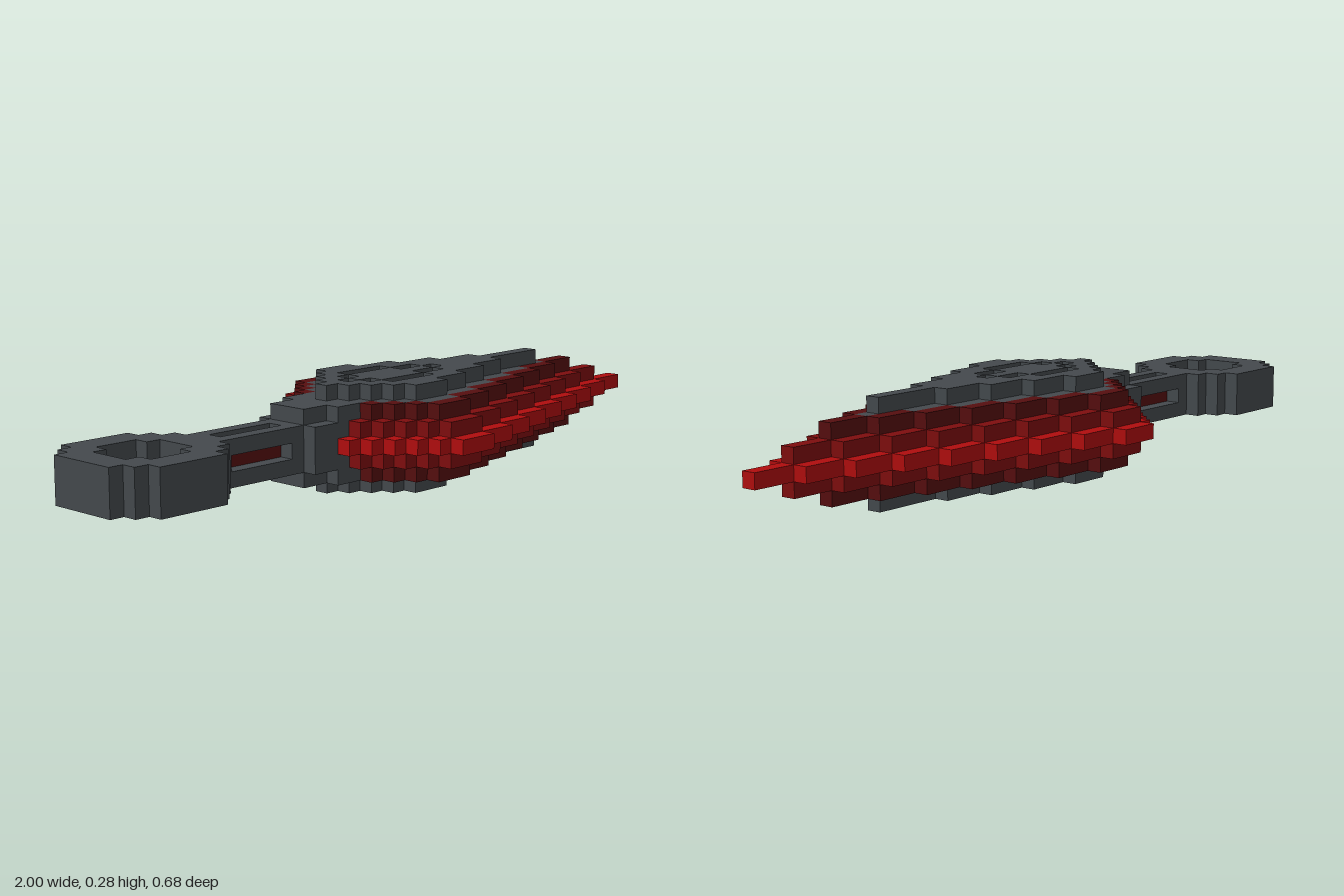
import * as THREE from 'three';
import { mergeGeometries } from 'three/addons/utils/BufferGeometryUtils.js';

const U = 0.04; // block size
const mat = (name, color) => {
  const m = new THREE.MeshStandardMaterial({ color });
  m.name = name;
  return m;
};

// Cuts the gaps out of the span [a, b] and returns the remaining spans
function cut(a, b, gaps = []) {
  const out = [];
  for (const [g0, g1] of gaps) {
    out.push([a, g0]);
    a = g1;
  }
  out.push([a, b]);
  return out.filter(([p, q]) => q - p > 0.001);
}

// One merged mesh from block rows: rows[k] lists x spans at distance k from the centre line
function slab(name, material, y0, y1, rows) {
  const parts = [];
  rows.forEach((spans, k) => {
    for (const side of k ? [1, -1] : [1]) {
      for (const [a, b] of spans) {
        const g = new THREE.BoxGeometry(b - a, y1 - y0, U);
        g.translate((a + b) / 2, (y0 + y1) / 2, side * k * U);
        parts.push(g);
      }
    }
  });
  const mesh = new THREE.Mesh(mergeGeometries(parts), material);
  mesh.name = name;
  return mesh;
}

// Stepped blade outline: x span of every row for a half width of n blocks
function bladeSpans(n, left) {
  return Array.from({ length: n + 1 }, (_, k) => [
    Math.max(left, -0.08 - 0.04 * (n - k)),
    0.04 + 0.12 * (n - k),
  ]);
}

export function createModel() {
  const root = new THREE.Group();
  const grey = mat('dark grey', 0x44494d);
  const red = mat('bright red', 0xb00d0e);
  const midRed = mat('medium red', 0x7e0d0e);
  const darkRed = mat('dark red', 0x550e0f);
  const add = (...args) => root.add(slab(...args));

  // Sharp edge and the two bevel steps of the blade
  add('bladeEdge', red, 0.12, 0.16, bladeSpans(8, -0.28).map((s) => [s]));
  add('bladeMiddleBevel', midRed, 0.08, 0.20, bladeSpans(7, -0.24).map((s) => [s]));
  const core = bladeSpans(5, -0.20);
  add('bladeInnerBevel', darkRed, 0.04, 0.24,
    bladeSpans(6, -0.20).map(([a, b], k) => cut(a, b, core[k] ? [core[k]] : [])));

  // Blade core and raised plates, with a sunken diamond emblem
  const emblem = [
    [[-0.16, -0.12], [0.16, 0.20]],
    [[-0.12, -0.08], [0.08, 0.16]],
    [[-0.08, 0.08]],
  ];
  add('bladeCore', grey, 0.04, 0.24, core.map(([a, b], k) => cut(a, b, emblem[k])));
  add('emblem', darkRed, 0.04, 0.24, emblem);
  const plate = bladeSpans(4, -0.24);
  plate[0][1] = 0.60;
  const plateRows = plate.map(([a, b], k) => cut(a, b, emblem[k]));
  add('upperPlate', grey, 0.24, 0.28, plateRows);
  add('lowerPlate', grey, 0, 0.04, plateRows);

  // Guard between blade and handle
  const same = (count, a, b) => Array.from({ length: count }, () => [[a, b]]);
  add('guardBack', grey, 0.04, 0.24, same(3, -0.28, -0.20));
  add('guardRidge', grey, 0.04, 0.24, same(2, -0.36, -0.28));
  add('guardSides', grey, 0.08, 0.20, [[], [], [[-0.36, -0.28]]]);

  // Handle: solid ends, four corner rails and a coloured core
  add('handleRearEnd', grey, 0.08, 0.20, same(2, -0.64, -0.60));
  add('handleFrontEnd', grey, 0.08, 0.20, same(2, -0.40, -0.36));
  for (const [name, y] of [['lowerRails', 0.08], ['upperRails', 0.16]]) {
    add(name, grey, y, y + U, [[], [[-0.60, -0.40]]]);
  }
  add('handleCore', darkRed, 0.12, 0.16, [[[-0.60, -0.40]]]);

  // Ring pommel
  add('ring', grey, 0.08, 0.20, [
    cut(-1, -0.64, [[-0.92, -0.72]]),
    cut(-1, -0.64, [[-0.92, -0.72]]),
    cut(-1, -0.64, [[-0.88, -0.76]]),
    [[-0.96, -0.68]],
    [[-0.92, -0.72]],
  ]);

  return root;
}
